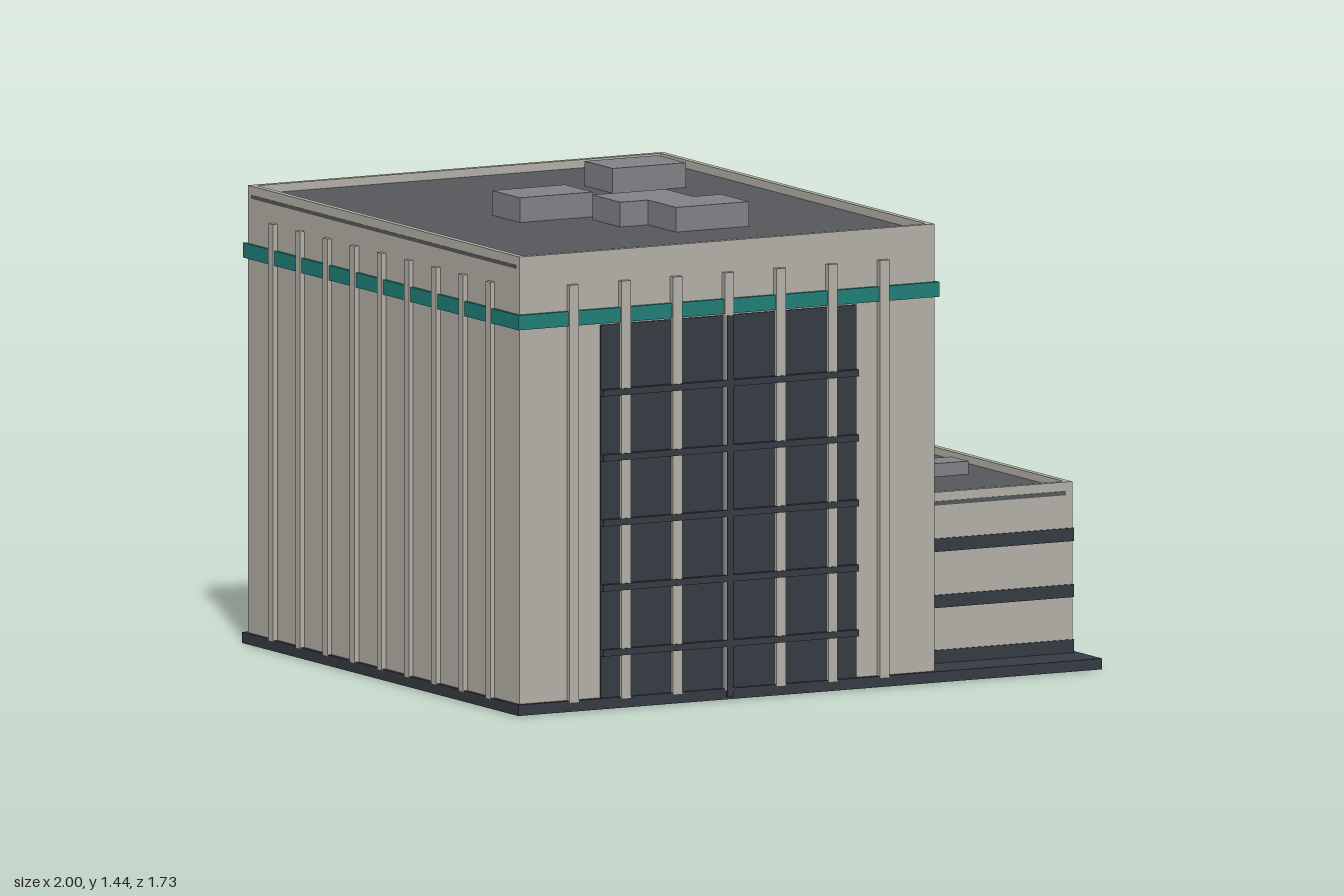
import * as THREE from 'three';

const mat = (name, color) => new THREE.MeshStandardMaterial({ name, color });

export function createModel() {
  const root = new THREE.Group();
  root.name = 'officeBuilding';
  const concrete = mat('concrete', 0xb4b1a8);
  const glass = mat('dark glass', 0x363b43);
  const roofing = mat('roofing', 0x55585b);
  const teal = mat('teal trim', 0x1f8078);
  const metal = mat('roof unit grey', 0x818286);

  // Box given by its minimum and maximum on each axis
  function box(name, material, [x0, x1], [y0, y1], [z0, z1], parent = root) {
    const mesh = new THREE.Mesh(new THREE.BoxGeometry(x1 - x0, y1 - y0, z1 - z0), material);
    mesh.position.set((x0 + x1) / 2, (y0 + y1) / 2, (z0 + z1) / 2);
    mesh.name = name;
    parent.add(mesh);
    return mesh;
  }

  // Rectangular wall ring with an open middle
  function parapet(name, [x0, x1], [y0, y1], d, t) {
    const rect = (P, i) => new P([[x0 + i, -d + i], [x1 - i, -d + i], [x1 - i, d - i], [x0 + i, d - i]]
      .map(([x, y]) => new THREE.Vector2(x, y)));
    const shape = rect(THREE.Shape, 0);
    shape.holes.push(rect(THREE.Path, t));
    const geo = new THREE.ExtrudeGeometry(shape, { depth: y1 - y0, bevelEnabled: false });
    geo.rotateX(-Math.PI / 2);
    const mesh = new THREE.Mesh(geo, concrete);
    mesh.position.y = y0;
    mesh.name = name;
    root.add(mesh);
  }

  // Walls, sunken roof and parapet of one block
  function block(name, xs, d, roofY, top) {
    const t = 0.02;
    box(name + 'Walls', concrete, xs, [0, roofY - 0.005], [-d, d]);
    box(name + 'Roof', roofing, [xs[0] + t, xs[1] - t], [roofY - 0.005, roofY], [-d + t, d - t]);
    parapet(name + 'Parapet', xs, [roofY - 0.005, top], d, t);
  }

  // Ground slab
  box('groundSlab', glass, [-0.997, 1], [0.002, 0.035], [-0.86, 0.86]);

  // Main tower with trim band
  const towerX = [-0.985, 0.435], towerD = 0.845;
  block('tower', towerX, towerD, 1.365, 1.39);
  box('trimBand', teal, [-0.995, 0.445], [1.17, 1.215], [-0.857, 0.857]);
  box('towerRoofEdge', roofing, [towerX[0] - 0.001, towerX[1] + 0.001], [1.352, 1.363], [-0.823, 0.823]);

  // Front and back: glazing, mullions and fins
  const glassX = [-0.71, 0.165];
  for (const side of [1, -1]) {
    const face = new THREE.Group();
    face.name = side > 0 ? 'frontFacade' : 'backFacade';
    root.add(face);
    const out = (z) => (side > 0 ? [towerD - 0.005, z] : [-z, -towerD + 0.005]);
    box('glazing', glass, glassX, [0.01, 1.165], out(0.851), face);
    for (let i = 0; i < 5; i++) {
      const y = 0.172 + i * 0.197;
      box('mullion', glass, glassX, [y - 0.01, y + 0.01], out(0.867), face);
    }
    box('centreMullion', glass, [-0.285, -0.265], [0.01, 1.165], out(0.867), face);
    for (let i = 0; i < 7; i++) {
      const x = -0.807 + i * 0.177;
      box('fin', concrete, [x - 0.016, x + 0.016], [0.03, 1.295], out(0.863), face);
    }
  }

  // Fins on the far side wall
  for (let i = 0; i < 9; i++) {
    const z = (i - 4) * 0.169;
    box('sideFin', concrete, [-1, -0.98], [0.03, 1.295], [z - 0.015, z + 0.015]);
  }

  // Low wing with window strips
  const wingX = [0.43, 0.982], wingD = 0.708;
  block('wing', wingX, wingD, 0.53, 0.553);
  box('wingRoofEdge', roofing, [0.455, 0.96], [0.513, 0.526], [-wingD - 0.001, wingD + 0.001]);
  for (const [y0, y1] of [[0.03, 0.075], [0.203, 0.242], [0.373, 0.413]]) {
    box('windowStrip', glass, [0.432, 0.986], [y0, y1], [-0.712, 0.712]);
  }

  // Rooftop units: x, z of the centre
  for (const [x, z] of [[0.1, -0.408], [-0.435, -0.013], [-0.215, 0.212], [-0.12, 0.386]]) {
    box('towerRoofUnit', metal, [x - 0.125, x + 0.125], [1.36, 1.44], [z - 0.087, z + 0.087]);
  }
  for (const [x, z] of [[0.667, -0.097], [0.787, 0.238], [0.542, 0.424]]) {
    box('wingRoofUnit', metal, [x - 0.07, x + 0.07], [0.525, 0.57], [z - 0.052, z + 0.052]);
  }
  return root;
}
